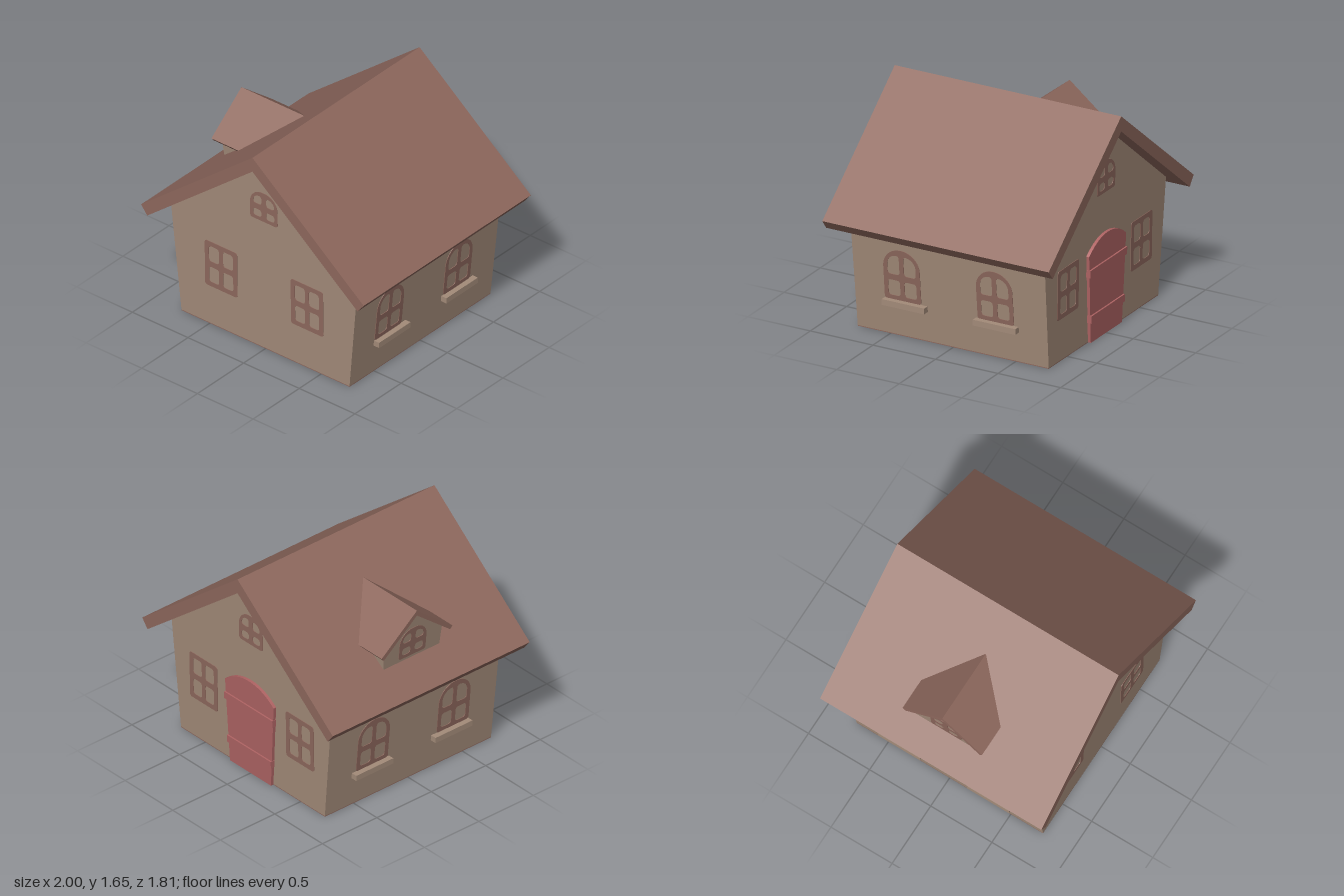
import * as THREE from 'three';

const mat = (name, color) => {
  const m = new THREE.MeshStandardMaterial({ color });
  m.name = name;
  return m;
};

export function createModel() {
  const plaster = mat('plaster', 0xa38b79);
  const brown = mat('roofBrown', 0x8e685d);
  const red = mat('doorRed', 0xae6363);

  const house = new THREE.Group();
  house.name = 'cottage';

  const add = (parent, name, geometry, material, x = 0, y = 0, z = 0) => {
    const mesh = new THREE.Mesh(geometry, material);
    mesh.name = name;
    mesh.position.set(x, y, z);
    parent.add(mesh);
    return mesh;
  };
  const poly = (pts) => new THREE.Shape(pts.map(([x, y]) => new THREE.Vector2(x, y)));
  const extrude = (shape, depth, z0) =>
    new THREE.ExtrudeGeometry(shape, { depth, bevelEnabled: false, curveSegments: 8 }).translate(0, 0, z0);

  // Gabled block: walls lean outwards, end faces lean by the same kind of rule
  const LEAN = 0.016, END = 0.763, SIDE = 0.755, SIDE_LEAN = 0.0965;
  const body = extrude(poly([[-SIDE, 0.006], [SIDE, 0.006], [0.838, 0.861], [0, 1.536], [-0.838, 0.861]]), 2, -1);
  const p = body.attributes.position;
  for (let i = 0; i < p.count; i++) p.setZ(i, Math.sign(p.getZ(i)) * (END + LEAN * p.getY(i)));
  body.computeVertexNormals();
  add(house, 'walls', body, plaster);
  add(house, 'floor', new THREE.BoxGeometry(SIDE * 2, 0.006, END * 2), brown, 0, 0.003, 0);

  // Main roof: thick chevron
  const roof = poly([[0, 1.65], [-1, 0.845], [-0.945, 0.775], [0, 1.536], [0.945, 0.775], [1, 0.845]]);
  add(house, 'roof', extrude(roof, 1.81, -0.905), brown);

  // Rounded rectangle with separate lower, upper-left and upper-right radii
  const rounded = (path, x0, y0, x1, y1, rb, rl, rr) => {
    path.moveTo(x0 + rb, y0);
    path.lineTo(x1 - rb, y0);
    path.absarc(x1 - rb, y0 + rb, rb, -Math.PI / 2, 0);
    path.absarc(x1 - rr, y1 - rr, rr, 0, Math.PI / 2);
    path.absarc(x0 + rl, y1 - rl, rl, Math.PI / 2, Math.PI);
    path.absarc(x0 + rb, y0 + rb, rb, Math.PI, Math.PI * 1.5);
    path.closePath();
    return path;
  };

  // Four-pane window frame, a thin plate with holes
  const windowFrame = ({ w, h, edge, top, bar, mid, arch, paneArch }) => {
    const shape = rounded(new THREE.Shape(), -w / 2, 0, w / 2, h, 0.02, arch, arch);
    const a = bar / 2, b = w / 2 - edge, r = 0.022;
    for (const s of [-1, 1]) {
      const x0 = s < 0 ? -b : a, x1 = s < 0 ? -a : b;
      shape.holes.push(rounded(new THREE.Path(), x0, edge, x1, mid - 0.022, r, r, r));
      shape.holes.push(rounded(new THREE.Path(), x0, mid + 0.022, x1, h - top, r,
        s < 0 ? paneArch : r, s < 0 ? r : paneArch));
    }
    return extrude(shape, 0.008, -0.004);
  };
  const square = windowFrame({ w: 0.29, h: 0.37, edge: 0.036, top: 0.036, bar: 0.035, mid: 0.184, arch: 0.02, paneArch: 0.025 });
  const arched = windowFrame({ w: 0.29, h: 0.392, edge: 0.032, top: 0.046, bar: 0.035, mid: 0.174, arch: 0.143, paneArch: 0.078 });
  const attic = windowFrame({ w: 0.245, h: 0.235, edge: 0.027, top: 0.036, bar: 0.04, mid: 0.107, arch: 0.11, paneArch: 0.055 });

  // Wall frame: local +z points out of the wall
  const wall = (name, turn, parent = house) => {
    const g = new THREE.Group();
    g.name = name;
    g.rotation.y = turn;
    parent.add(g);
    return g;
  };
  const hang = (g, name, geo, m, x, y, base, lean) => {
    add(g, name, geo, m, x, y, base + lean * y).rotation.x = Math.atan(lean);
  };

  // Front and back windows
  const front = wall('frontDetails', 0), back = wall('backDetails', Math.PI);
  for (const [g, xs] of [[front, [-0.39, 0.382]], [back, [-0.505, 0.505]]]) {
    for (const x of xs) hang(g, 'window', square, brown, x, 0.318, END, LEAN);
    hang(g, 'atticWindow', attic, brown, 0.002, 1.059, END, LEAN);
  }

  // Side windows with sills, mirrored
  for (const s of [1, -1]) {
    const g = wall(s > 0 ? 'leftDetails' : 'rightDetails', s * Math.PI / 2);
    for (const [zWindow, zSill] of [[0.383, 0.36], [-0.358, -0.368]]) {
      hang(g, 'archedWindow', arched, brown, -s * zWindow, 0.276, SIDE, SIDE_LEAN);
      add(g, 'sill', new THREE.BoxGeometry(0.34, 0.043, 0.1), plaster, -s * zSill, 0.255, 0.778);
    }
  }

  // Back door with an arched top and two battens
  const door = new THREE.Shape();
  door.moveTo(-0.215, 0);
  door.lineTo(0.215, 0);
  door.lineTo(0.255, 0.66);
  door.quadraticCurveTo(0.14, 0.76, 0, 0.76);
  door.quadraticCurveTo(-0.14, 0.76, -0.255, 0.66);
  hang(back, 'door', extrude(door, 0.045, -0.022), red, 0, 0.002, END, LEAN);
  for (const [y, w] of [[0.182, 0.46], [0.532, 0.505]])
    hang(back, 'doorBatten', new THREE.BoxGeometry(w, 0.055, 0.07), red, 0, y, END, LEAN);

  // Dormer on the right slope; local +z points to the model's right
  const dormer = wall('dormer', -Math.PI / 2);
  const dormerRoof = poly([[0, 1.42], [-0.325, 1.16], [-0.305, 1.136], [0, 1.38], [0.305, 1.136], [0.325, 1.16]]);
  add(dormer, 'dormerRoof', extrude(dormerRoof, 0.56, 0.29), brown);
  const dormerBody = extrude(poly([[-0.25, 0.94], [0.25, 0.94], [0.268, 1.166], [0, 1.38], [-0.268, 1.166]]), 0.5, 0.3);
  const q = dormerBody.attributes.position;
  for (let i = 0; i < q.count; i++) if (q.getZ(i) > 0.5) q.setZ(i, 0.69 + 0.1 * q.getY(i));
  dormerBody.computeVertexNormals();
  add(dormer, 'dormerWalls', dormerBody, plaster);
  hang(dormer, 'dormerWindow', attic, brown, 0, 1.035, 0.69, 0.1);

  return house;
}
